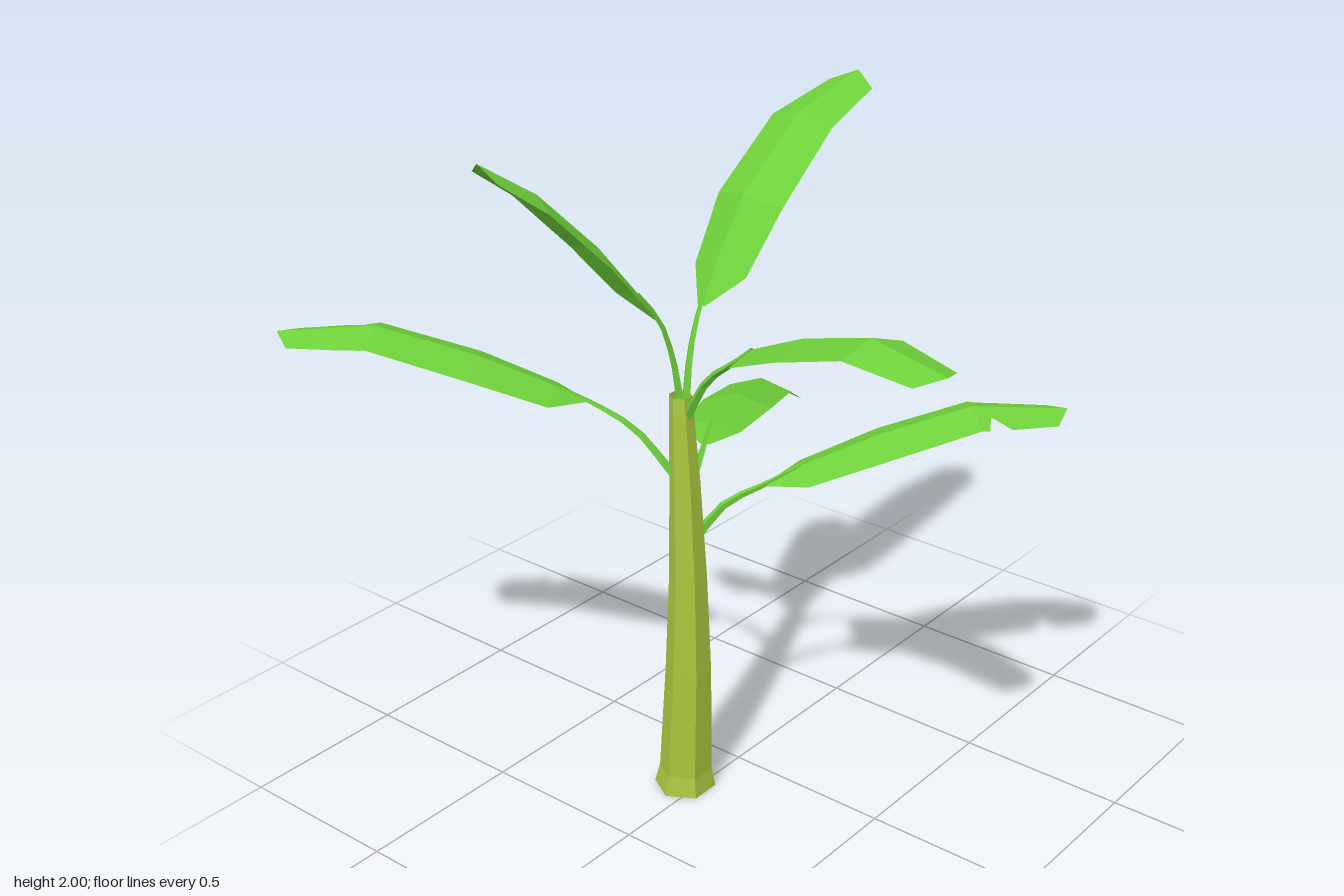
import * as THREE from 'three';

const green = new THREE.MeshStandardMaterial({ color: 0x6fd03a, flatShading: true, side: THREE.DoubleSide });
const bark = new THREE.MeshStandardMaterial({ color: 0xa9c63e, flatShading: true, side: THREE.DoubleSide });

// Midrib points: stem start, stem bend, blade base, three blade stations, then the blade tip.
// notch: -1 left edge, 1 right edge (looking outward along the leaf), 0 none.
const leaves = [
  { name: 'leftLeaf', size: 1, notch: 0, rib: [[-0.02, 1.19, 0.2], [0.06, 1.32, 0.21], [0.17, 1.41, 0.23],
    [0.24, 1.47, 0.25], [0.43, 1.56, 0.285], [0.67, 1.64, 0.34], [0.92, 1.62, 0.39]] },
  { name: 'frontUprightLeaf', size: 0.92, notch: 0, rib: [[-0.04, 1.2, 0.2], [-0.045, 1.34, 0.22], [-0.05, 1.48, 0.27],
    [-0.07, 1.57, 0.33], [-0.105, 1.72, 0.44], [-0.155, 1.89, 0.6], [-0.195, 2, 0.76]] },
  { name: 'backUprightLeaf', size: 1.05, notch: 0, rib: [[-0.035, 1.18, 0.19], [-0.04, 1.36, 0.16], [-0.045, 1.48, 0.11],
    [-0.045, 1.57, 0.05], [-0.04, 1.745, -0.07], [-0.025, 1.925, -0.29], [-0.01, 1.99, -0.545]] },
  { name: 'frontRightLeaf', size: 1, notch: 1, rib: [[-0.06, 1.02, 0.22], [-0.14, 1.15, 0.28], [-0.25, 1.23, 0.35],
    [-0.31, 1.27, 0.4], [-0.48, 1.355, 0.52], [-0.7, 1.435, 0.68], [-0.925, 1.41, 0.83]] },
  { name: 'backLeftLeaf', size: 1, notch: 1, rib: [[-0.01, 0.82, 0.18], [0.05, 0.92, 0.12], [0.13, 0.975, 0.04],
    [0.19, 1.02, -0.035], [0.34, 1.1, -0.2], [0.53, 1.18, -0.36], [0.72, 1.16, -0.55]] },
  { name: 'backRightLeaf', size: 1, notch: 1, rib: [[-0.05, 0.91, 0.18], [-0.1, 0.97, 0.06], [-0.15, 0.99, -0.03],
    [-0.22, 1, -0.15], [-0.305, 0.985, -0.375], [-0.42, 0.915, -0.64], [-0.475, 0.785, -0.84]] },
];

// Thin four-sided stem that tapers toward the blade
function stemGeometry(points) {
  const curve = new THREE.CatmullRomCurve3(points);
  const rings = 6, sides = 4;
  const geo = new THREE.TubeGeometry(curve, rings, 0.015, sides);
  const pos = geo.attributes.position, v = new THREE.Vector3();
  for (let i = 0; i < pos.count; i++) {
    const t = Math.floor(i / (sides + 1)) / rings;
    const c = curve.getPointAt(t);
    v.fromBufferAttribute(pos, i).sub(c).multiplyScalar(1 - 0.7 * t).add(c);
    pos.setXYZ(i, v.x, v.y, v.z);
  }
  return geo;
}

// Roof-shaped blade: a raised midrib with two drooping halves
function bladeGeometry(rib, size, notch) {
  const dir = rib[4].clone().sub(rib[0]).setY(0).normalize();
  const side = dir.clone().cross(new THREE.Vector3(0, 1, 0));
  const between = (t) => rib[3].clone().lerp(rib[4], t);
  // Each station: midrib point, half width, width factor on the notched edge
  const stations = [[rib[0], 0.012, 1], [rib[1], 0.087, 1], [rib[2], 0.108, 1], [rib[3], 0.1, 1]];
  if (notch) stations.push([between(0.12), 0.097, 1], [between(0.17), 0.095, 0.45], [between(0.36), 0.09, 1]);
  stations.push([rib[4], 0.072, 1]);

  const verts = [], index = [];
  stations.forEach(([mid, half, cut], i) => {
    const prev = stations[Math.max(i - 1, 0)][0];
    const next = stations[Math.min(i + 1, stations.length - 1)][0];
    const along = next.clone().sub(prev).normalize();
    const up = side.clone().cross(along).normalize();
    const pullBack = i === stations.length - 1 ? -0.04 : 0;
    for (const s of [-1, 0, 1]) {
      const w = half * size * (s === notch ? cut : 1);
      const p = mid.clone();
      if (s) p.addScaledVector(side, s * w).addScaledVector(up, -0.32 * w).addScaledVector(along, pullBack);
      verts.push(p.x, p.y, p.z);
    }
    if (i === 0) return;
    for (const k of [0, 1]) {
      const a = (i - 1) * 3 + k, b = i * 3 + k;
      index.push(a, a + 1, b + 1, a, b + 1, b);
    }
  });
  const geo = new THREE.BufferGeometry();
  geo.setAttribute('position', new THREE.Float32BufferAttribute(verts, 3));
  geo.setIndex(index);
  geo.computeVertexNormals();
  return geo;
}

function makeLeaf({ name, size, notch, rib }) {
  const pts = rib.map((p) => new THREE.Vector3(...p));
  const leaf = new THREE.Group();
  leaf.name = name;
  const stem = new THREE.Mesh(stemGeometry(pts.slice(0, 4)), green);
  stem.name = 'stem';
  const blade = new THREE.Mesh(bladeGeometry(pts.slice(2), size, notch), green);
  blade.name = 'blade';
  leaf.add(stem, blade);
  return leaf;
}

// Six-sided trunk, flared at the foot and slightly bowed
function makeTrunk() {
  const profile = [[0.09, 0], [0.077, 0.06], [0.066, 0.4], [0.054, 0.7], [0.043, 1], [0.032, 1.25]];
  const geo = new THREE.LatheGeometry(profile.map(([r, y]) => new THREE.Vector2(r, y)), 6);
  const pos = geo.attributes.position;
  for (let i = 0; i < pos.count; i++) {
    pos.setX(i, pos.getX(i) - 0.042 + 0.02 * Math.sin((Math.PI * pos.getY(i)) / 1.25));
    pos.setZ(i, pos.getZ(i) + 0.2);
  }
  geo.computeVertexNormals();
  const trunk = new THREE.Mesh(geo, bark);
  trunk.name = 'trunk';
  return trunk;
}

export function createModel() {
  const plant = new THREE.Group();
  plant.name = 'broadLeafPlant';
  plant.add(makeTrunk(), ...leaves.map(makeLeaf));
  return plant;
}
